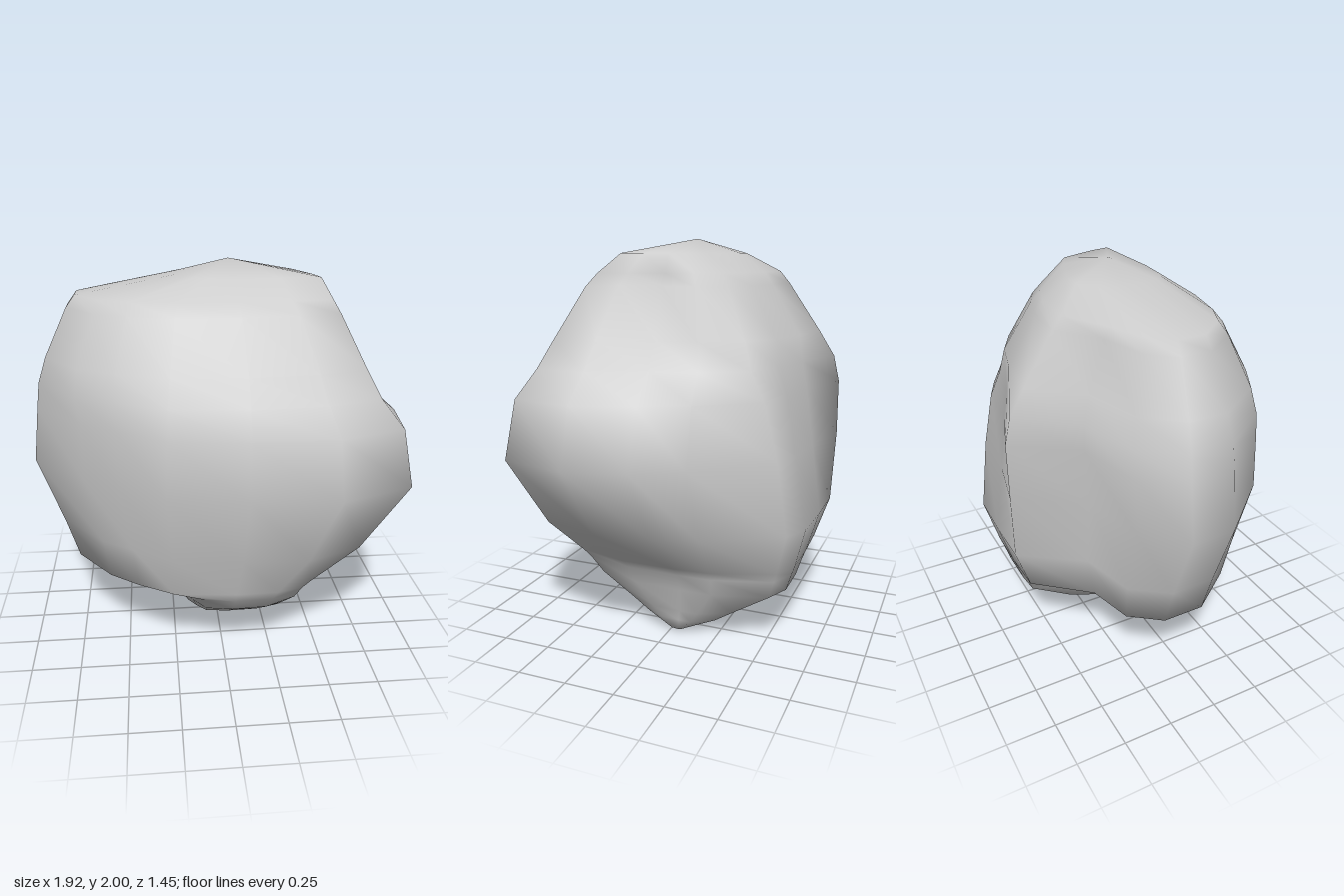
import * as THREE from 'three';

// Plan outlines as fractions of a level's extents, clockwise seen from above: [x, z]
const outlines = [
  // Base
  [
    [-1, -0.2], [-0.85, -0.45], [-0.56, -0.55], [-0.25, -0.98], [0.1, -1], [0.55, -1],
    [0.82, -0.9], [1, -0.4], [1, -0.1], [0.98, 0.4], [0.86, 0.82], [0.5, 0.98],
    [0.1, 1], [-0.35, 0.95], [-0.58, 0.78], [-0.78, 0.57], [-1, 0.17],
  ],
  // Waist
  [
    [-1, -0.16], [-0.84, -0.43], [-0.48, -0.54], [-0.25, -1], [0.06, -0.99], [0.36, -0.97],
    [0.48, -0.88], [0.79, -0.32], [0.93, 0], [1, 0.38], [0.92, 0.82], [0.54, 1],
    [0.1, 0.96], [-0.3, 0.88], [-0.54, 0.66], [-0.71, 0.54], [-0.99, 0.15],
  ],
  // Shoulder, with a dent on the right
  [
    [-1, -0.16], [-0.84, -0.46], [-0.5, -0.6], [-0.26, -1], [0.09, -0.94], [0.42, -0.84],
    [0.69, -0.68], [0.74, -0.3], [0.79, 0.05], [0.97, 0.48], [1, 0.84], [0.65, 0.95],
    [0.15, 1], [-0.3, 0.96], [-0.59, 0.78], [-0.8, 0.6], [-1, 0.17],
  ],
  // Crown
  [
    [-1, -0.2], [-0.95, -0.45], [-0.75, -0.7], [-0.3, -1], [0.1, -1], [0.36, -0.8],
    [0.6, -0.6], [0.82, -0.35], [0.88, 0], [0.96, 0.5], [1, 0.97], [0.6, 0.98],
    [0.15, 1], [-0.3, 0.95], [-0.65, 0.85], [-0.85, 0.65], [-1, 0.25],
  ],
];

// Levels: [y, xMin, xMax, zMin, zMax, position in the outline list, fullness of the right back]
const levels = [
  [0.02, 0.06, 0.37, -0.1, 0.02, 0, 1],
  [0.08, -0.08, 0.385, -0.26, 0.17, 0, 1],
  [0.14, -0.22, 0.4, -0.36, 0.26, 0, 1],
  [0.28, -0.27, 0.445, -0.59, 0.46, 0, 1],
  [0.37, -0.31, 0.475, -0.62, 0.53, 0.1, 1],
  [0.42, -0.76, 0.52, -0.64, 0.55, 0.2, 1],
  [0.64, -0.83, 0.75, -0.71, 0.63, 0.65, 1],
  [1.0, -0.96, 0.96, -0.72, 0.73, 1, 0.92],
  [1.28, -0.925, 0.885, -0.72, 0.68, 1.3, 0.88],
  [1.41, -0.905, 0.75, -0.69, 0.6, 1.75, 0.9],
  [1.54, -0.86, 0.67, -0.61, 0.53, 2, 1],
  [1.78, -0.745, 0.56, -0.45, 0.38, 2.2, 1],
  [1.84, -0.7, 0.53, -0.4, 0.31, 2.5, 1],
  [1.93, -0.2, 0.49, -0.26, 0.18, 3, 1],
];

// Blends two neighbouring outlines and fits them into the extents of one level
function section([y, x0, x1, z0, z1, place, back]) {
  const cx = Math.max(0, x0 + 0.1);
  const cz = -0.04;
  const k = Math.min(Math.floor(place), outlines.length - 2);
  return outlines[k].flatMap(([ax, az], i) => {
    const [bx, bz] = outlines[k + 1][i];
    const px = THREE.MathUtils.lerp(ax, bx, place - k);
    const pz = THREE.MathUtils.lerp(az, bz, place - k);
    const x = cx + px * (px > 0 ? x1 - cx : cx - x0);
    const z = cz + pz * (pz > 0 ? z1 - cz : cz - z0);
    return [x, y, px > 0 && pz < -0.5 ? z * back : z];
  });
}

function rockGeometry() {
  const n = outlines[0].length;
  const positions = levels.flatMap(section);
  const bottom = levels.length * n, top = bottom + 1;
  positions.push(0.12, 0, -0.04, 0.06, 2, -0.04);

  const index = [];
  const last = (levels.length - 1) * n;
  for (let i = 0; i < n; i++) {
    const j = (i + 1) % n;
    // Sides
    for (let a = 0; a < last; a += n) {
      const b = a + n;
      index.push(a + i, b + i, b + j, a + i, b + j, a + j);
    }
    // Closed ends
    index.push(i, j, bottom, last + i, top, last + j);
  }

  const geometry = new THREE.BufferGeometry();
  geometry.setAttribute('position', new THREE.Float32BufferAttribute(positions, 3));
  geometry.setIndex(index);
  geometry.computeVertexNormals();
  return geometry;
}

export function createModel() {
  const model = new THREE.Group();
  const rock = new THREE.Mesh(rockGeometry(), new THREE.MeshStandardMaterial({ color: 0xcccccc }));
  rock.name = 'rock';
  model.add(rock);
  return model;
}
